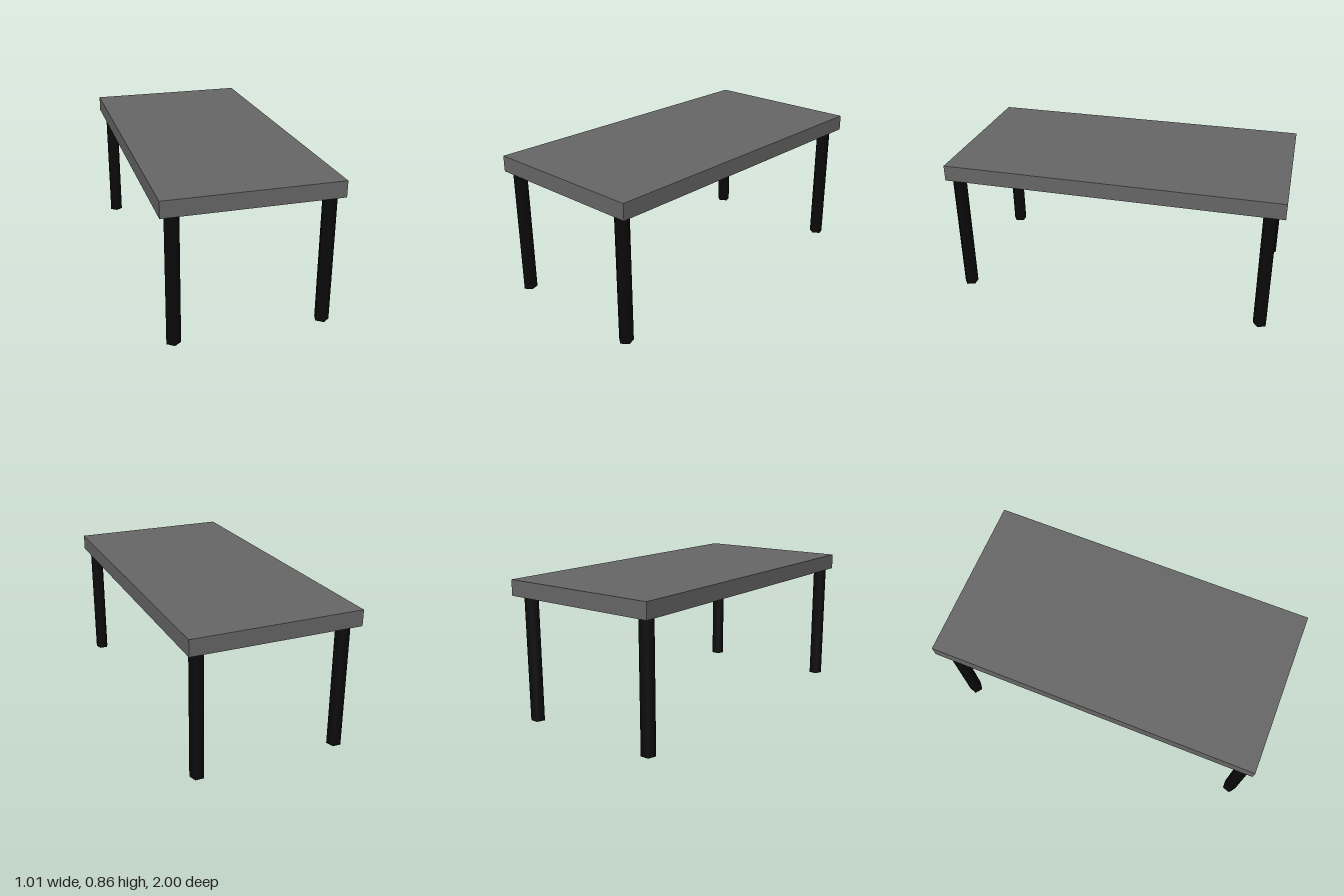
import * as THREE from 'three';

export function createModel() {
  const group = new THREE.Group();
  const topMaterial = new THREE.MeshStandardMaterial({ color: 0x666666 });
  const legMaterial = new THREE.MeshStandardMaterial({ color: 0x0a0a0a });

  const underside = 0.76;
  const thickness = 0.095;

  // Slab top
  const top = new THREE.Mesh(new THREE.BoxGeometry(1.01, thickness, 2), topMaterial);
  top.name = 'tableTop';
  top.position.y = underside + thickness / 2;
  group.add(top);

  // Four five-sided legs, one near each corner
  const legGeometry = new THREE.CylinderGeometry(0.043, 0.043, underside, 5);
  const legs = [
    ['frontLeftLeg', 0.43, 0.948],
    ['frontRightLeg', -0.435, 0.948],
    ['backLeftLeg', 0.43, -0.919],
    ['backRightLeg', -0.435, -0.919],
  ];
  for (const [name, x, z] of legs) {
    const leg = new THREE.Mesh(legGeometry, legMaterial);
    leg.name = name;
    leg.position.set(x, underside / 2, z);
    group.add(leg);
  }

  return group;
}
